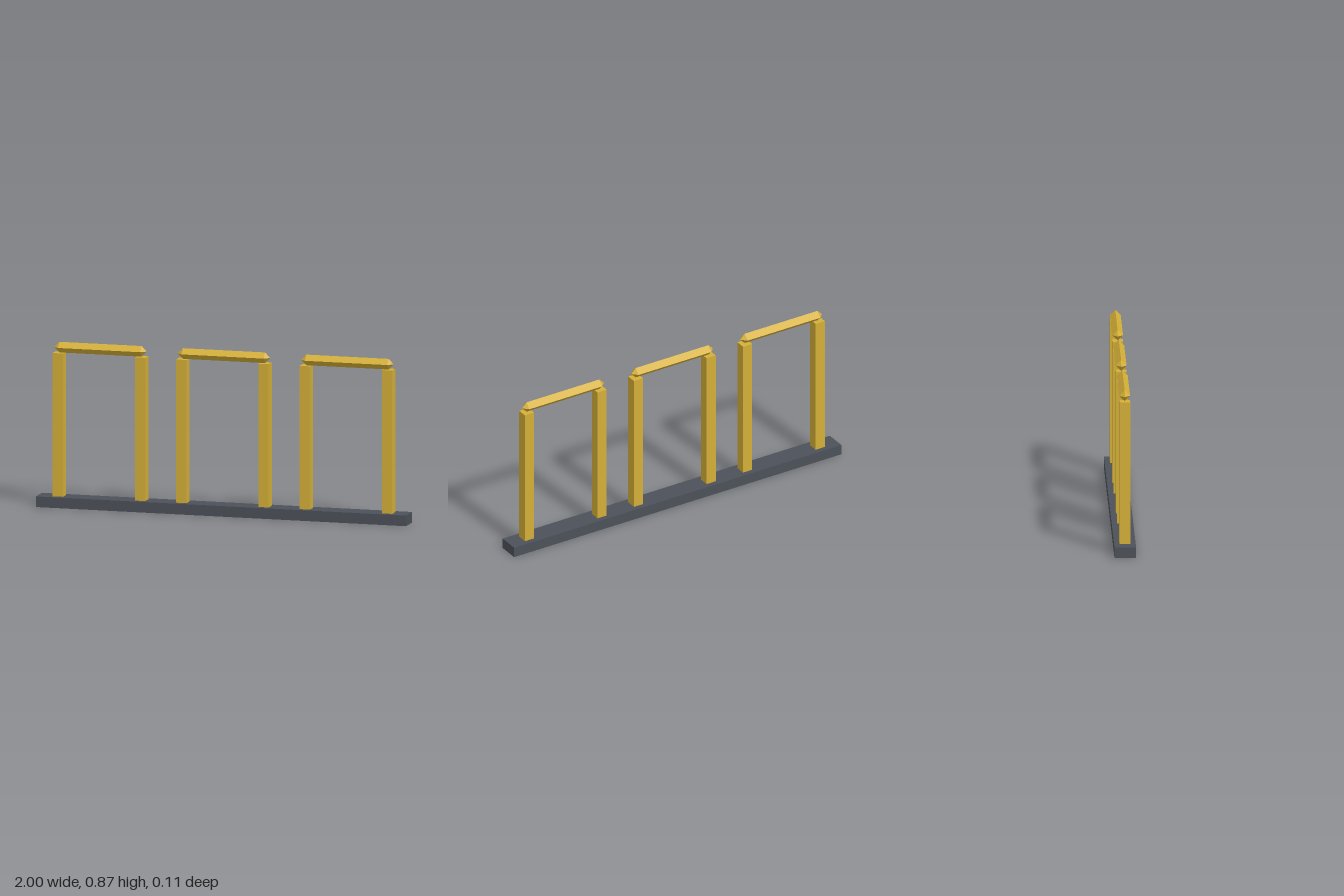
import * as THREE from 'three';

const POST = 0.056;         // post width
const BASE_H = 0.056;
const POST_TOP = 0.81;
const HALF_SPAN = 0.222;    // arch centre to post centre
const BAR_R = 0.028;

export function createModel() {
  const gold = new THREE.MeshStandardMaterial({ color: 0xd4af37, flatShading: true });
  gold.name = 'gold';
  const slate = new THREE.MeshStandardMaterial({ color: 0x4c5159, flatShading: true });
  slate.name = 'slate';

  const model = new THREE.Group();
  model.name = 'tripleArch';

  function add(parent, name, geometry, material, x, y) {
    const mesh = new THREE.Mesh(geometry, material);
    mesh.name = name;
    mesh.position.set(x, y, 0);
    parent.add(mesh);
    return mesh;
  }

  // Long plinth
  add(model, 'base', new THREE.BoxGeometry(2, BASE_H, 0.112), slate, 0, BASE_H / 2);

  const postHeight = POST_TOP - BASE_H;
  const postGeometry = new THREE.BoxGeometry(POST, postHeight, POST);

  // Diamond-section bar with pointed ends, turned to lie along x
  const barGeometry = new THREE.LatheGeometry([
    new THREE.Vector2(0, -HALF_SPAN - BAR_R),
    new THREE.Vector2(BAR_R, -HALF_SPAN),
    new THREE.Vector2(BAR_R, HALF_SPAN),
    new THREE.Vector2(0, HALF_SPAN + BAR_R),
  ], 4).rotateZ(Math.PI / 2);

  // Three identical arches: two posts and a crossbar each
  const arches = [['rightArch', -0.667], ['middleArch', 0], ['leftArch', 0.667]];
  for (const [name, x] of arches) {
    const arch = new THREE.Group();
    arch.name = name;
    arch.position.x = x;
    for (const side of [-1, 1]) {
      add(arch, side < 0 ? 'rightPost' : 'leftPost', postGeometry, gold,
        side * HALF_SPAN, BASE_H + postHeight / 2);
    }
    add(arch, 'crossbar', barGeometry, gold, 0, POST_TOP + BAR_R);
    model.add(arch);
  }
  return model;
}
